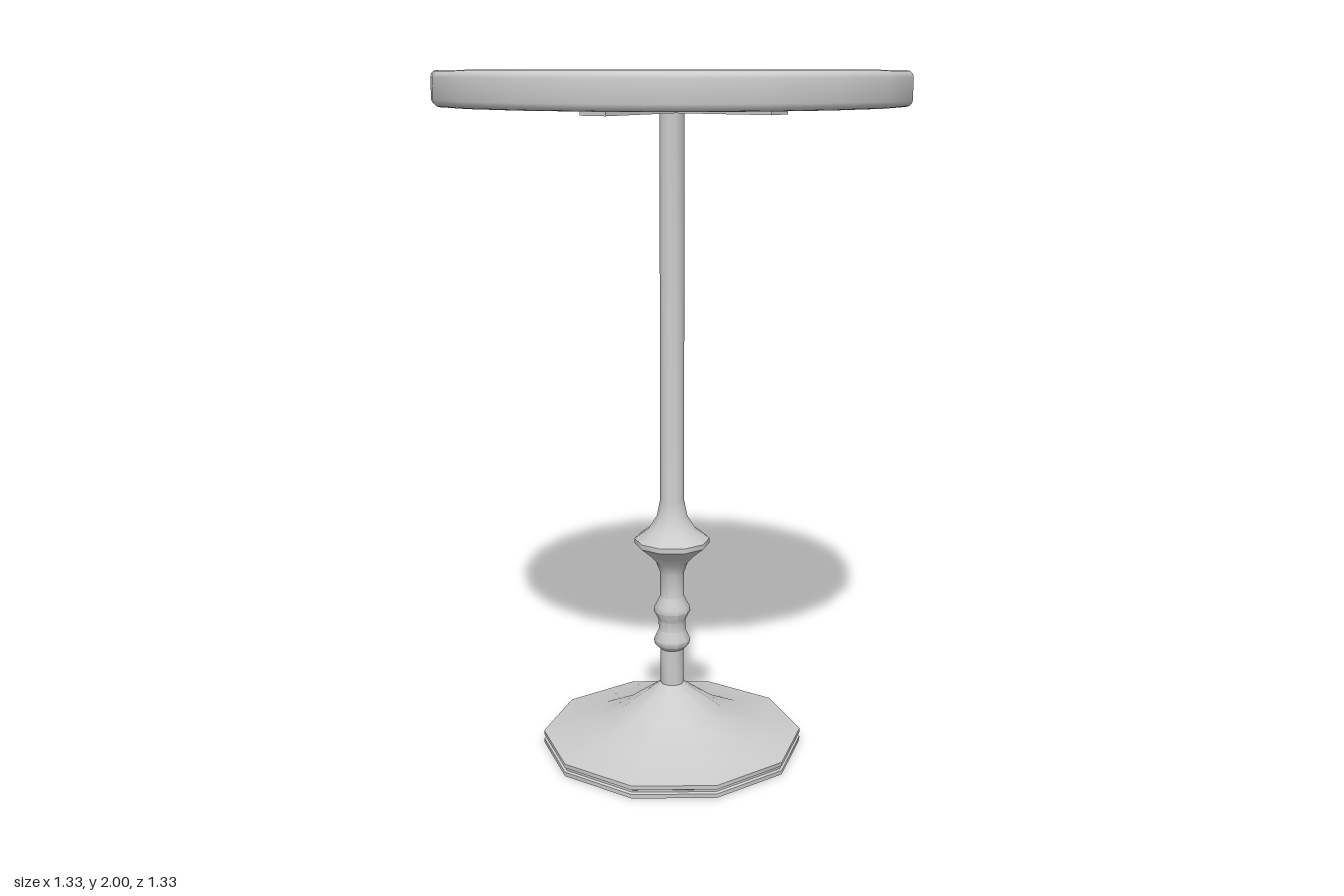
import * as THREE from 'three';
import { toCreasedNormals } from 'three/addons/utils/BufferGeometryUtils.js';

const material = new THREE.MeshStandardMaterial({ color: 0xcccccc });
const openMaterial = new THREE.MeshStandardMaterial({ color: 0xcccccc, side: THREE.DoubleSide });

// Turned part from [radius, height] pairs, listed bottom to top, with a corner on the x axis
function turned(name, profile, sides, mat = material) {
  const points = profile.map(([r, y]) => new THREE.Vector2(r, y));
  const lathe = new THREE.LatheGeometry(points, sides, Math.PI / 2);
  const mesh = new THREE.Mesh(toCreasedNormals(lathe, 0.75), mat);
  mesh.name = name;
  return mesh;
}

export function createModel() {
  const table = new THREE.Group();
  table.name = 'pedestalTable';

  // Hollow flared foot with a shallow groove around its rim
  table.add(turned('base', [
    [0.39, 0], [0.39, 0.012], [0.383, 0.016], [0.383, 0.022], [0.39, 0.026],
    [0.39, 0.038], [0.25, 0.066], [0.15, 0.113], [0.035, 0.196],
  ], 10, openMaterial));

  // Column with two small beads and one wide collar
  table.add(turned('column', [
    [0.035, 0.19], [0.035, 0.305],
    [0.052, 0.32], [0.055, 0.335], [0.04, 0.365], [0.04, 0.395],
    [0.055, 0.425], [0.052, 0.44], [0.036, 0.47],
    [0.036, 0.545], [0.047, 0.575], [0.075, 0.605],
    [0.111, 0.635], [0.111, 0.65], [0.07, 0.68], [0.045, 0.72], [0.035, 0.77],
    [0.035, 1.905],
  ], 10));

  // Crossed support bars under the top
  const bars = new THREE.Group();
  bars.name = 'supportBars';
  for (const [name, w, d] of [['sideBar', 0.695, 0.085], ['depthBar', 0.085, 0.72]]) {
    const bar = new THREE.Mesh(new THREE.BoxGeometry(w, 0.024, d), material);
    bar.name = name;
    bar.position.y = 1.897;
    bars.add(bar);
  }
  table.add(bars);

  // Round top with softened edges
  const R = 0.665, low = 1.905, high = 2, bevel = 0.018;
  const profile = [[0, low]];
  for (const [y, start] of [[low + bevel, -Math.PI / 2], [high - bevel, 0]]) {
    for (let i = 0; i <= 3; i++) {
      const a = start + (i / 3) * (Math.PI / 2);
      profile.push([R - bevel + bevel * Math.cos(a), y + bevel * Math.sin(a)]);
    }
  }
  profile.push([0, high]);
  table.add(turned('tableTop', profile, 20));

  return table;
}
